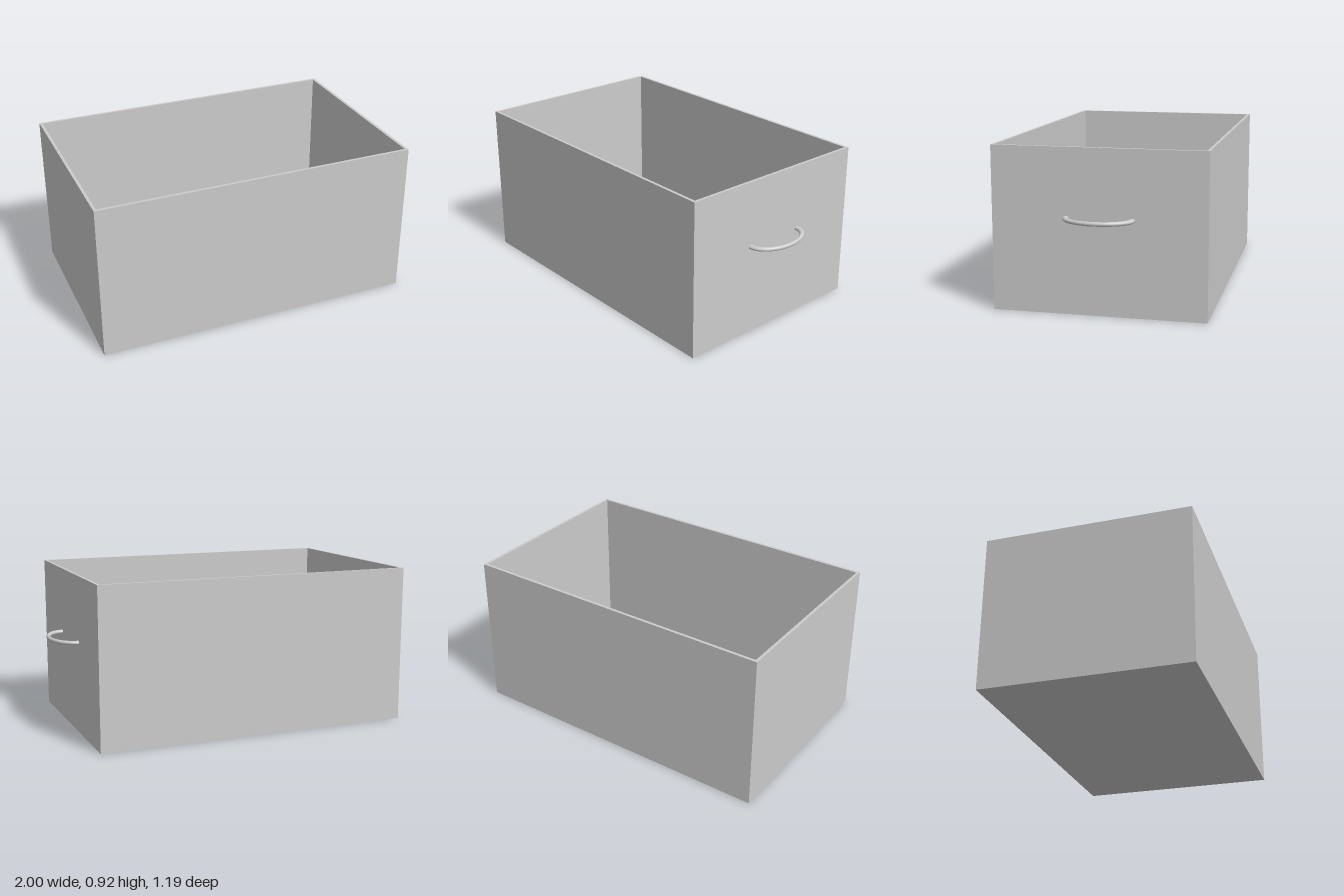
import * as THREE from 'three';

const material = new THREE.MeshStandardMaterial({ color: 0xcccccc });

function add(group, name, geometry, x, y, z) {
  const mesh = new THREE.Mesh(geometry, material);
  mesh.name = name;
  mesh.position.set(x, y, z);
  group.add(mesh);
}

// Rectangle outline centred on the origin
function rectangle(PathType, w, d) {
  return new PathType([[-1, -1], [1, -1], [1, 1], [-1, 1]].map(
    ([x, y]) => new THREE.Vector2(x * w / 2, y * d / 2)));
}

export function createModel() {
  const group = new THREE.Group();
  group.name = 'openBox';

  const width = 1.868, depth = 1.187, height = 0.916, wall = 0.017;
  const centreX = -1 + width / 2;
  const innerW = width - 2 * wall, innerD = depth - 2 * wall;

  // Four walls as one hollow frame
  const frame = rectangle(THREE.Shape, width, depth);
  frame.holes.push(rectangle(THREE.Path, innerW, innerD));
  const walls = new THREE.ExtrudeGeometry(frame, { depth: height, bevelEnabled: false });
  walls.rotateX(-Math.PI / 2);
  add(group, 'walls', walls, centreX, 0, 0);

  // Floor set inside the walls
  add(group, 'floor', new THREE.BoxGeometry(innerW, wall, innerD), centreX, wall / 2, 0);

  // Half-ring handle on the +x end, stretched along z
  const handle = new THREE.TorusGeometry(0.121, 0.011, 16, 32, Math.PI);
  handle.rotateX(-Math.PI / 2).rotateY(-Math.PI / 2).scale(1, 1.1, 1.5);
  add(group, 'handle', handle, -1 + width, 0.533, -0.004);

  return group;
}
